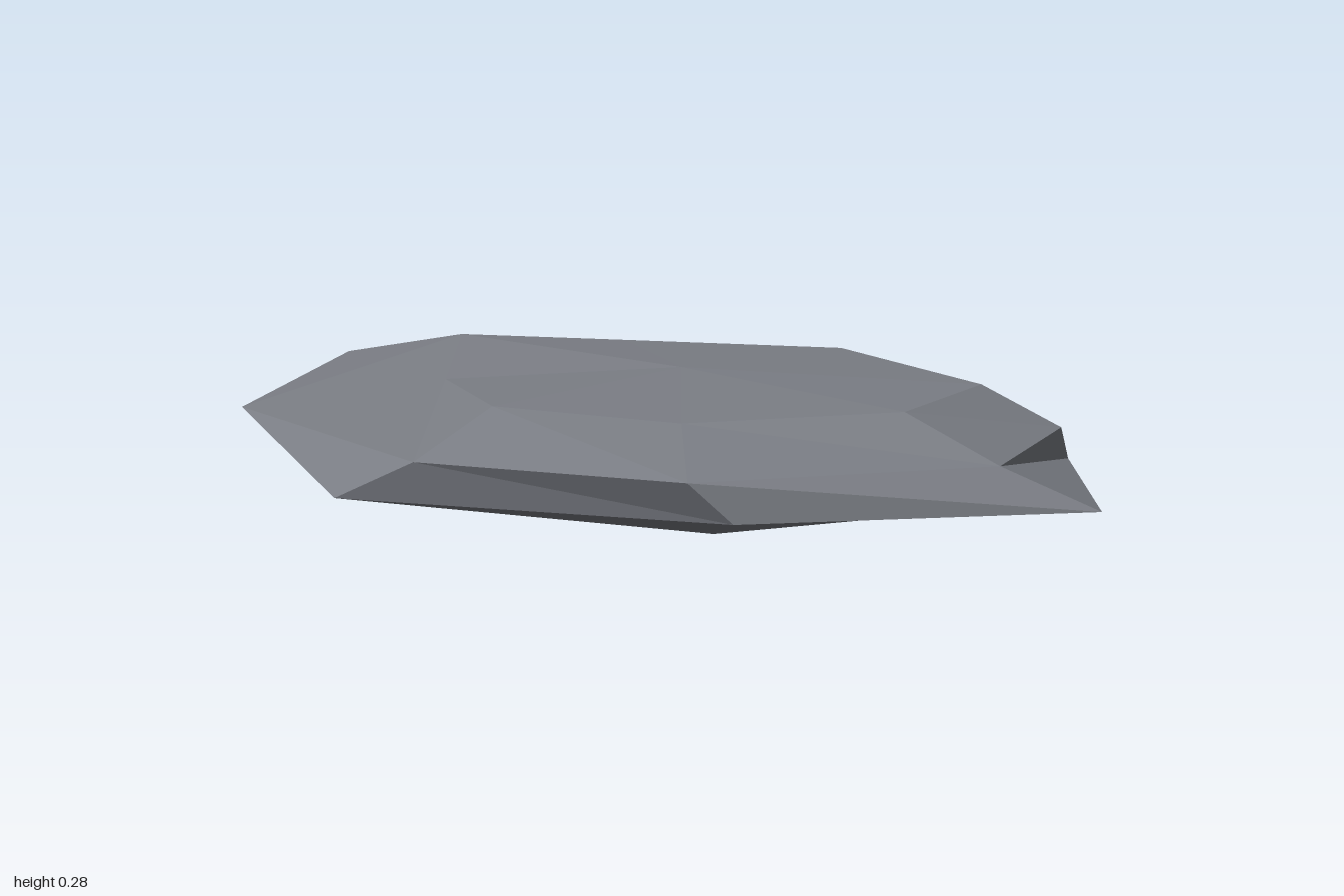
import * as THREE from 'three';

// Each ring lists [x, y, z] around the stone, from -x through +z to +x and -z
const rings = [
  // upper facets
  [[-0.67, 0.265, -0.12], [-0.48, 0.237, 0.19], [-0.12, 0.265, 0.52], [0.25, 0.25, 0.39],
    [0.55, 0.257, 0.05], [0.48, 0.257, -0.3], [0, 0.256, -0.48], [-0.4, 0.256, -0.3]],
  // upper rim
  [[-1, 0.187, -0.19], [-0.79, 0.185, 0.45], [-0.13, 0.186, 0.77], [0.45, 0.185, 0.64],
    [0.83, 0.185, 0.11], [0.64, 0.18, -0.35], [0.1, 0.175, -0.61], [-0.53, 0.18, -0.61]],
  // lower rim
  [[-0.88, 0.1, -0.18], [-0.81, 0.1, 0.3], [-0.31, 0.098, 0.79], [0.52, 0.1, 0.58],
    [1, 0.095, 0], [0.59, 0.1, -0.44], [0.12, 0.096, -0.79], [-0.53, 0.097, -0.72]],
  // underside
  [[-0.65, 0.03, -0.06], [-0.51, 0.045, 0.21], [-0.17, 0.043, 0.42], [0.33, 0.036, 0.39],
    [0.46, 0.03, 0.04], [0.4, 0.033, -0.32], [0.12, 0.034, -0.44], [-0.4, 0.034, -0.38]],
];
const topPoint = [-0.04, 0.28, 0];
const bottomPoint = [0, 0, 0];

export function createModel() {
  const stoneGrey = new THREE.MeshStandardMaterial({ color: 0x7a7d84 });
  stoneGrey.name = 'stoneGrey';

  const points = [];
  const triangle = (...corners) => corners.forEach((p) => points.push(...p));
  const count = rings[0].length;
  for (let i = 0; i < count; i++) {
    const j = (i + 1) % count;
    // caps
    triangle(topPoint, rings[0][i], rings[0][j]);
    triangle(bottomPoint, rings[3][j], rings[3][i]);
    // bands between the rings
    for (let r = 0; r < rings.length - 1; r++) {
      const up = rings[r], low = rings[r + 1];
      triangle(up[j], up[i], low[j]);
      triangle(up[i], low[i], low[j]);
    }
  }

  // separate corners give flat facets
  const geometry = new THREE.BufferGeometry();
  geometry.setAttribute('position', new THREE.Float32BufferAttribute(points, 3));
  geometry.computeVertexNormals();

  const stone = new THREE.Mesh(geometry, stoneGrey);
  stone.name = 'flatStone';
  const group = new THREE.Group();
  group.name = 'rock';
  group.add(stone);
  return group;
}
